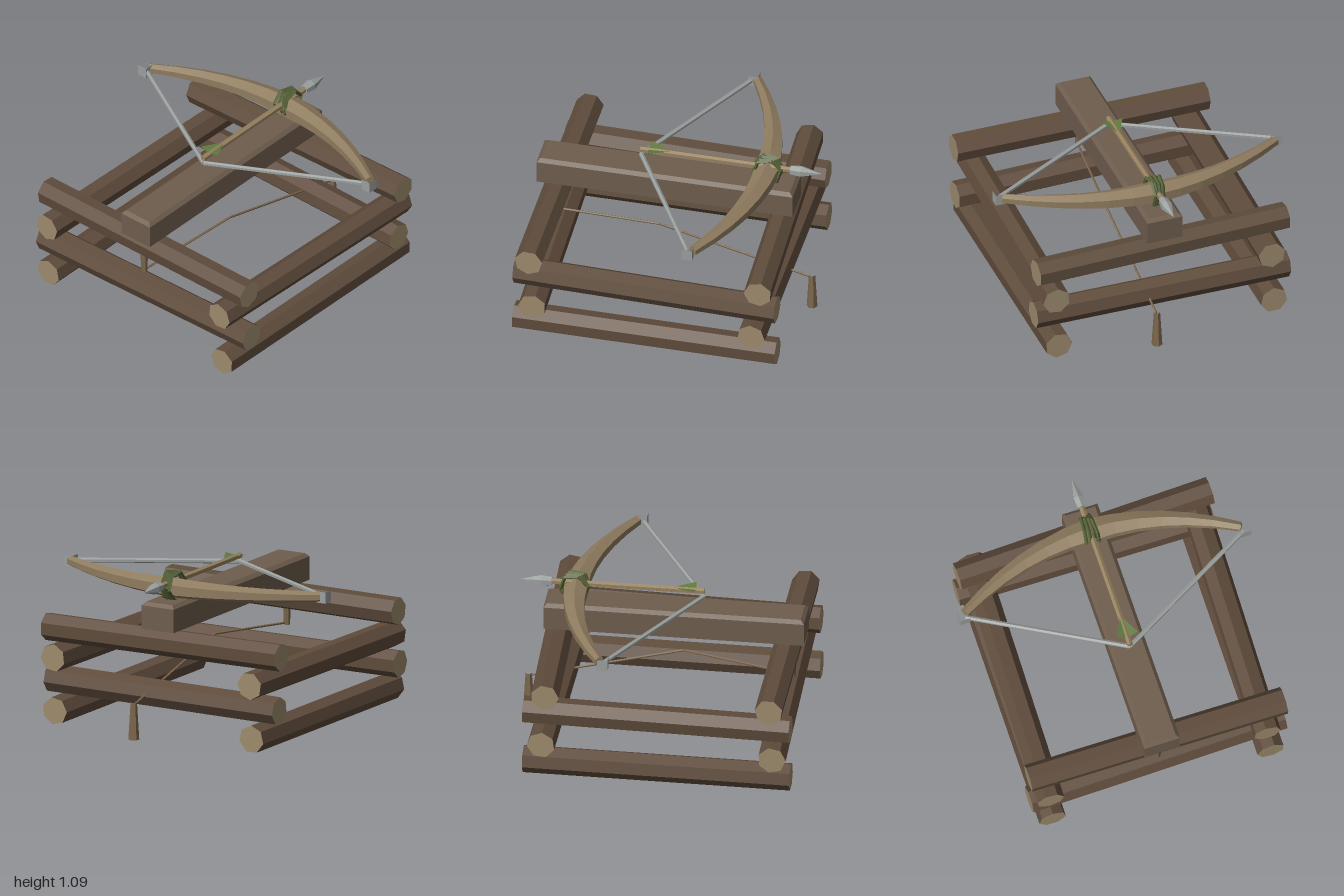
import * as THREE from 'three';

const mat = (color) => new THREE.MeshStandardMaterial({ color, flatShading: true });
const bark = mat(0x5f4c3c), cutWood = mat(0x9c8a6c), beamWood = mat(0x6e5d4d);
const bowWood = mat(0x8f7c5f), shaftWood = mat(0x96815f), pegWood = mat(0x7d674c);
const metal = mat(0x9aa09e), green = mat(0x566138), fletch = mat(0x5f7a3c);
fletch.side = THREE.DoubleSide;

const V = (x, y, z) => new THREE.Vector3(x, y, z);

export function createModel() {
  const model = new THREE.Group();

  const add = (name, geometry, material, position = V(0, 0, 0)) => {
    const mesh = new THREE.Mesh(geometry, material);
    mesh.name = name;
    mesh.position.copy(position);
    model.add(mesh);
    return mesh;
  };

  // straight rod between two points
  const rod = (name, a, b, r, sides, material, twist = 0) => {
    const dir = b.clone().sub(a);
    const geo = new THREE.CylinderGeometry(r, r, dir.length(), sides);
    geo.rotateY(twist);
    const mesh = add(name, geo, material, a.clone().add(b).multiplyScalar(0.5));
    mesh.quaternion.setFromUnitVectors(V(0, 1, 0), dir.normalize());
    return mesh;
  };

  // stacked logs, slightly askew: [y, offset at one end, offset at the other]
  const logMaterials = [bark, cutWood, cutWood];
  const lengthwise = [
    [0.095, -0.755, -0.745], [0.095, 0.745, 0.755],
    [0.45, -0.77, -0.73], [0.45, 0.72, 0.77],
  ];
  lengthwise.forEach(([y, front, back], i) =>
    rod('lengthwiseLog', V(front, y, 0.94), V(back, y, -0.82), 0.093, 7, logMaterials, i * 0.25));
  const crosswise = [
    [0.275, 0.83, 0.795], [0.275, -0.69, -0.67],
    [0.63, 0.81, 0.82], [0.63, -0.665, -0.715],
  ];
  crosswise.forEach(([y, right, left], i) =>
    rod('crosswiseLog', V(-0.88, y, right), V(0.875, y, left), 0.093, 7, logMaterials, i * 0.3));

  // stock beam with a chamfered top edge
  const beamGeo = new THREE.BoxGeometry(0.245, 0.18, 1.715, 1, 2, 1);
  const bp = beamGeo.attributes.position;
  for (let i = 0; i < bp.count; i++) {
    if (Math.abs(bp.getY(i)) < 0.01) bp.setY(i, 0.067);
    else if (bp.getY(i) > 0.08) {
      bp.setX(i, bp.getX(i) - Math.sign(bp.getX(i)) * 0.023);
      bp.setZ(i, bp.getZ(i) - Math.sign(bp.getZ(i)) * 0.023);
    }
  }
  add('stockBeam', beamGeo, beamWood, V(-0.002, 0.81, 0.082));

  // bow limbs: a hexagonal bar curved and tapered towards both tips
  const bowGeo = new THREE.CylinderGeometry(1, 1, 1.9, 6, 12, false, Math.PI / 6);
  bowGeo.rotateZ(Math.PI / 2);
  const p = bowGeo.attributes.position;
  for (let i = 0; i < p.count; i++) {
    const x = p.getX(i), t = Math.abs(x) / 0.95;
    const slope = 0.62 * x, len = Math.hypot(1, slope);
    const depth = p.getZ(i) * THREE.MathUtils.lerp(0.09, 0.032, t);
    p.setXYZ(i, x - depth * slope / len,
      0.97 + p.getY(i) * THREE.MathUtils.lerp(0.068, 0.034, t),
      -0.575 + 0.31 * x * x + depth / len);
  }
  add('bow', bowGeo, bowWood);

  // square tip collars and bowstring
  for (const s of [-1, 1]) {
    const collar = new THREE.CylinderGeometry(0.049, 0.049, 0.076, 4, 1, true);
    collar.rotateY(Math.PI / 4);
    add('tipCollar', collar, metal, V(s * 0.965, 0.968, -0.27));
    rod('bowstring', V(s * 0.955, 0.968, -0.265), V(0, 0.97, 0.265), 0.016, 6, metal);
  }

  // rope hoops binding the bow to the stock
  [-0.038, -0.014, 0.012, 0.032].forEach((x, i) => {
    const hoop = new THREE.TorusGeometry(0.094, 0.013, 4, 6);
    hoop.rotateY(Math.PI / 2);
    const mesh = add('binding', hoop, green, V(x, 0.99, -0.585));
    mesh.rotation.set(i * 0.14 - 0.2, (i - 1.5) * 0.06, 0);
  });

  // bolt: shaft, pointed head and two vanes
  rod('boltShaft', V(0, 1.01, 0.27), V(0, 1.01, -0.74), 0.021, 6, shaftWood);
  const head = new THREE.LatheGeometry([[0, 0], [0.031, 0], [0.039, 0.07], [0.026, 0.12], [0, 0.208]]
    .map(([r, y]) => new THREE.Vector2(r, y)), 6);
  head.rotateX(-Math.PI / 2);
  add('boltHead', head, metal, V(0, 1.01, -0.735));
  for (const s of [-1, 1]) {
    const vane = new THREE.BufferGeometry().setFromPoints(
      [V(0, 1.025, 0.06), V(s * 0.072, 1.035, 0.205), V(0, 1.02, 0.22)]);
    vane.computeVertexNormals();
    add('vane', vane, fletch);
  }

  // trigger lever, release rope and ground peg
  const lever = new THREE.CylinderGeometry(0.026, 0.02, 0.15, 6);
  add('triggerLever', lever, pegWood, V(-0.005, 0.498, 0.85));
  const bend = V(0.102, 0.5, 0.12);
  rod('releaseRope', V(0, 0.435, 0.85), bend, 0.008, 5, pegWood);
  rod('releaseRope', bend, V(0.102, 0.24, -0.89), 0.008, 5, pegWood);
  add('groundPeg', new THREE.CylinderGeometry(0.021, 0.036, 0.25, 6, 1, true), pegWood,
    V(0.102, 0.13, -0.902));

  return model;
}
